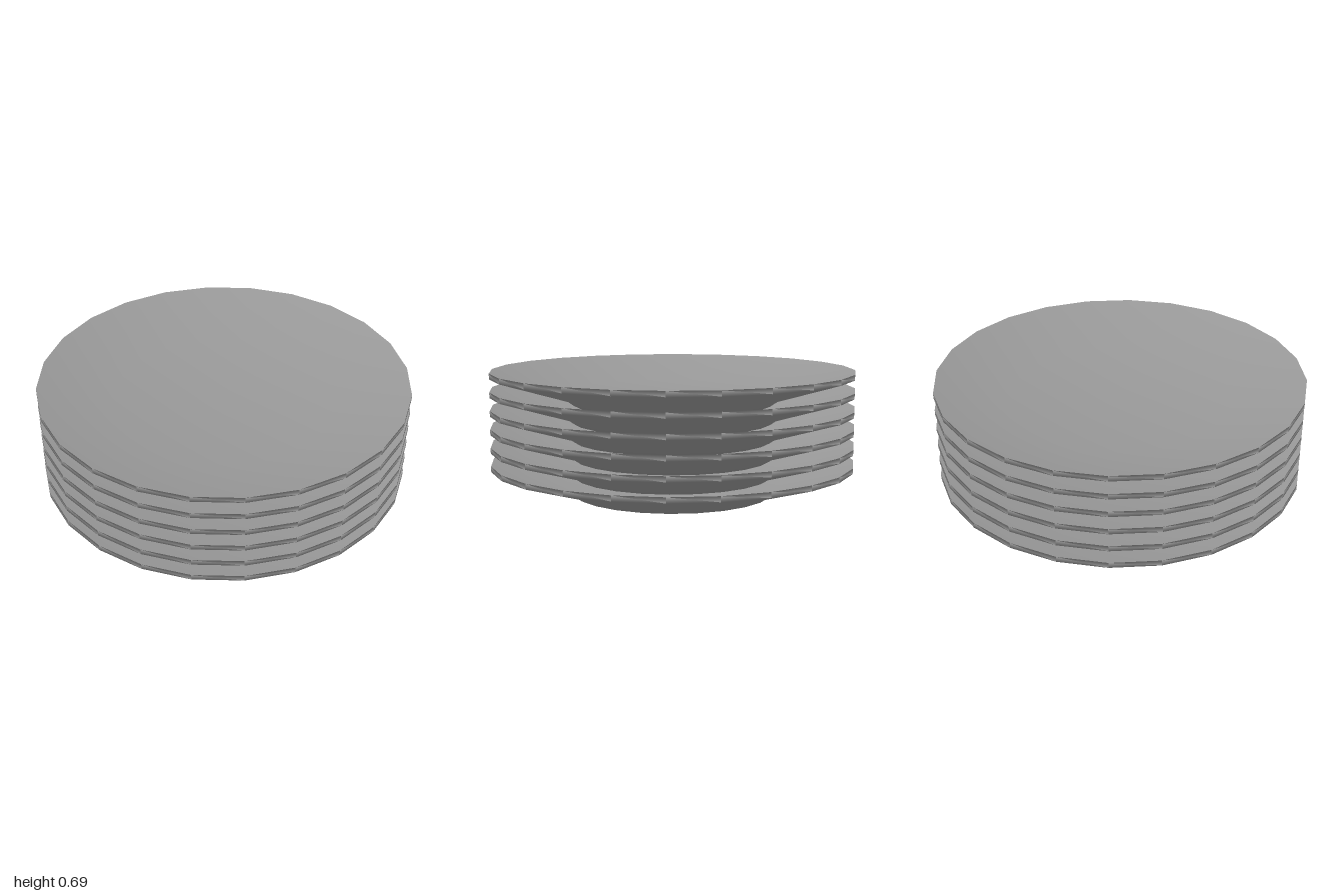
import * as THREE from 'three';

// Six identical smooth 24-sided plates stacked at an even spacing
export function createModel() {
  const model = new THREE.Group();
  model.name = 'plateStack';

  const ceramic = new THREE.MeshStandardMaterial({ color: 0x999999 });
  ceramic.name = 'grey ceramic';

  const count = 6;
  const spacing = 0.1;

  // Profile from the underside centre, round the rim, to the top centre
  const profile = [
    [0, 0], [0.55, 0],           // base
    [0.6, 0.035],                // foot
    [1, 0.155], [1, 0.185],      // flared underside and rim
    [0.6, 0.065], [0, 0.065],    // inner slope and floor
  ].map(([r, y]) => new THREE.Vector2(r, y));

  const plate = new THREE.LatheGeometry(profile, 24);

  for (let i = 0; i < count; i++) {
    const mesh = new THREE.Mesh(plate, ceramic);
    mesh.name = `plate${i + 1}`;
    mesh.position.y = i * spacing;
    model.add(mesh);
  }
  return model;
}
